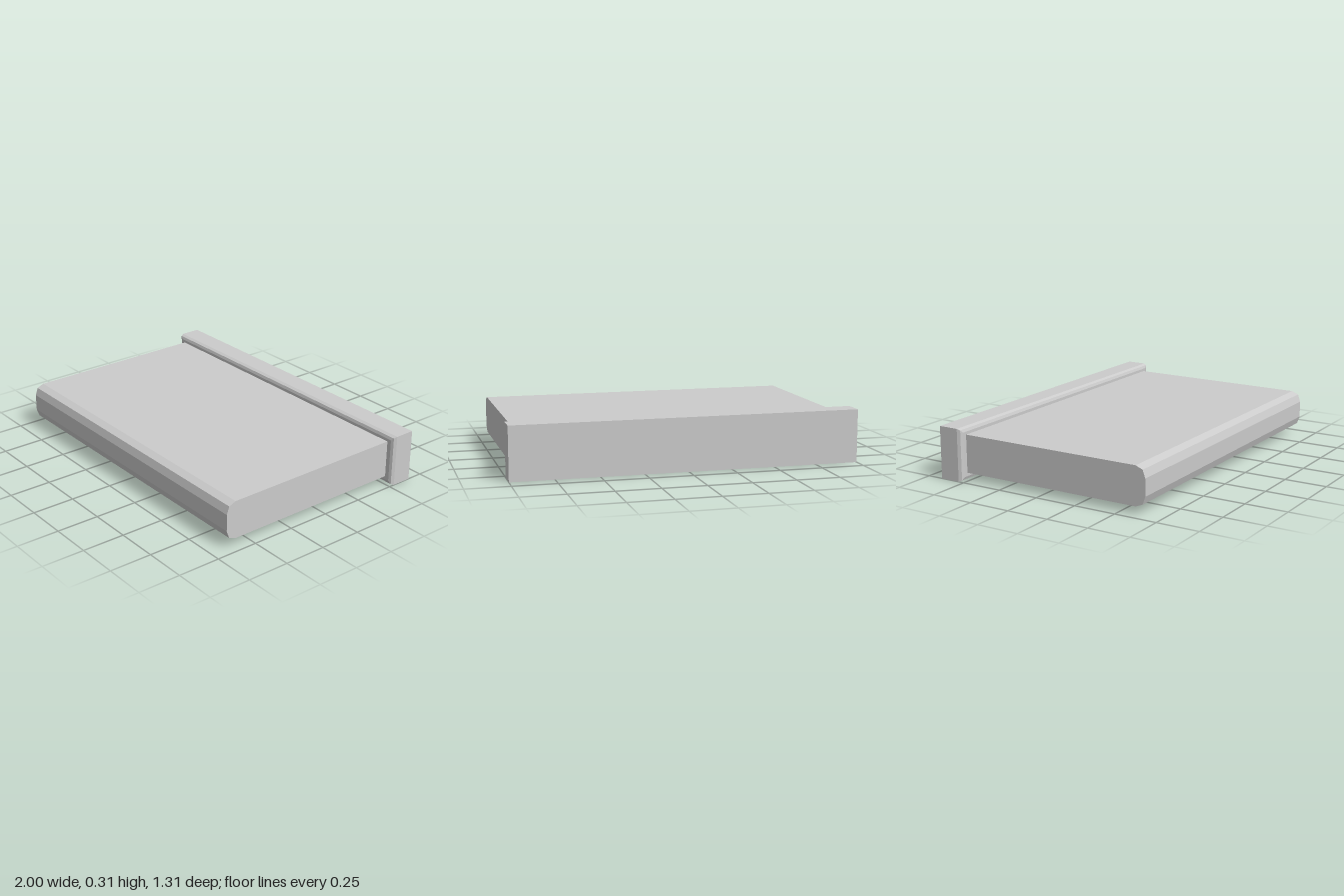
import * as THREE from 'three';

const material = new THREE.MeshStandardMaterial({ color: 0xcccccc, flatShading: true });

// Slab: side profile with a faceted nose, extruded across the width
function makeSlab() {
  const halfWidth = 0.95, midY = 0.155;
  const upper = [[-0.53, 0.111], [0.597, 0.111], [0.639, 0.094], [0.655, 0.049]];
  const lower = upper.map(([z, h]) => [z, -h]).reverse();
  // Shape x becomes -z after the turn, so the extrusion runs along +x
  const shape = new THREE.Shape([...upper, ...lower].map(([z, h]) => new THREE.Vector2(-z, midY + h)));
  const geometry = new THREE.ExtrudeGeometry(shape, { depth: 2 * halfWidth, bevelEnabled: false });
  geometry.rotateY(Math.PI / 2).translate(-halfWidth, 0, 0);
  return geometry;
}

// End cap: rectangular rings from back to front, shrinking at the bevelled front edge
function makeCap() {
  const halfWidth = 1, height = 0.307;
  const rings = [[-0.655, 0], [-0.535, 0], [-0.517, 0.008], [-0.511, 0.024]]; // z, inset
  const positions = [], index = [];
  for (const [z, inset] of rings) {
    const x = halfWidth - inset, y0 = inset, y1 = height - inset;
    positions.push(-x, y0, z, x, y0, z, x, y1, z, -x, y1, z);
  }
  for (let r = 0; r < rings.length - 1; r++) {
    for (let i = 0; i < 4; i++) {
      const a = r * 4 + i, b = r * 4 + (i + 1) % 4;
      index.push(a, b, b + 4, a, b + 4, a + 4);
    }
  }
  const f = (rings.length - 1) * 4;
  index.push(0, 2, 1, 0, 3, 2, f, f + 1, f + 2, f, f + 2, f + 3); // back and front faces
  const geometry = new THREE.BufferGeometry();
  geometry.setAttribute('position', new THREE.Float32BufferAttribute(positions, 3));
  geometry.setIndex(index);
  const flat = geometry.toNonIndexed();
  flat.computeVertexNormals();
  return flat;
}

export function createModel() {
  const model = new THREE.Group();
  model.name = 'cappedSlab';
  for (const [name, geometry] of [['slab', makeSlab()], ['endCap', makeCap()]]) {
    const mesh = new THREE.Mesh(geometry, material);
    mesh.name = name;
    model.add(mesh);
  }
  return model;
}
